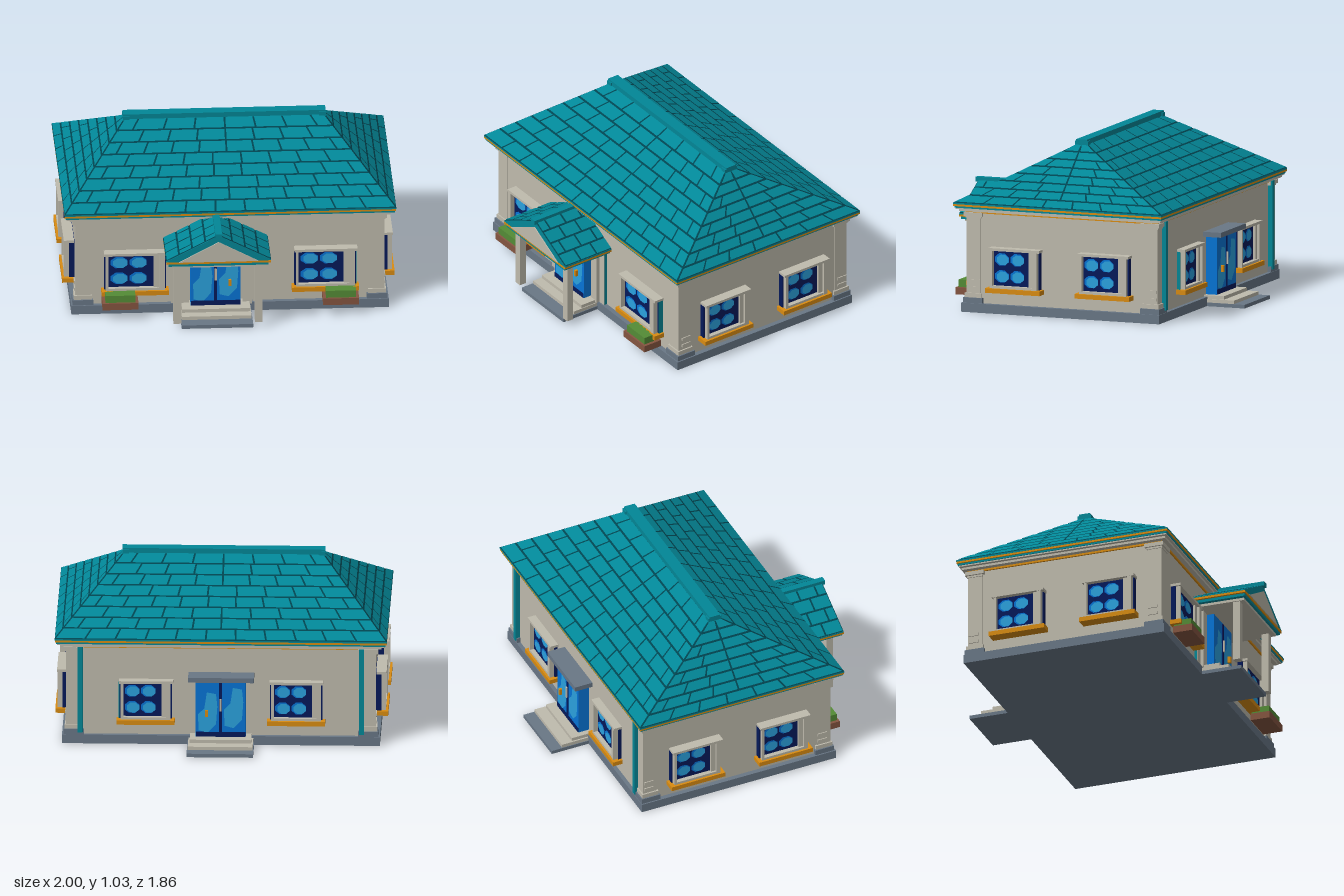
import * as THREE from 'three';

const mat = (name, color, side = THREE.FrontSide) => {
  const m = new THREE.MeshStandardMaterial({ color, side });
  m.name = name;
  return m;
};
const V = (x, y, z) => new THREE.Vector3(x, y, z);

export function createModel() {
  const model = new THREE.Group();
  model.name = 'house';
  const teal = mat('teal', 0x028797), darkTeal = mat('dark teal', 0x004450);
  const cream = mat('cream', 0xbfbbad), gold = mat('gold', 0xd98c12);
  const grey = mat('slate grey', 0x697786), navy = mat('navy', 0x04195a);
  const blue = mat('blue', 0x0674d6), light = mat('light blue', 0x2ba2de);
  const brown = mat('brown', 0x855540), green = mat('green', 0x548c36);

  const add = (parent, name, geo, m) => {
    const mesh = new THREE.Mesh(geo, m);
    mesh.name = name;
    parent.add(mesh);
    return mesh;
  };
  // box given by its min and max on each axis
  const box = (parent, name, m, x0, x1, y0, y1, z0, z1) => {
    const b = add(parent, name, new THREE.BoxGeometry(x1 - x0, y1 - y0, z1 - z0), m);
    b.position.set((x0 + x1) / 2, (y0 + y1) / 2, (z0 + z1) / 2);
    return b;
  };
  const group = (name, x, z, turn = 0) => {
    const g = new THREE.Group();
    g.name = name;
    g.position.set(x, 0, z);
    g.rotation.y = turn;
    model.add(g);
    return g;
  };

  // roof slope: dark base with staggered tiles; a, b along the eave, c, d along the top
  const quads = (list) => {
    const pos = [];
    for (const [a, b, c, d] of list) for (const p of [a, b, c, a, c, d]) pos.push(p.x, p.y, p.z);
    const geo = new THREE.BufferGeometry();
    geo.setAttribute('position', new THREE.Float32BufferAttribute(pos, 3));
    geo.computeVertexNormals();
    return geo;
  };
  const slope = (name, a, b, c, d, rows, size) => {
    const n = b.clone().sub(a).cross(d.clone().sub(a)).normalize().multiplyScalar(0.004);
    const at = (u, v) => a.clone().lerp(b, u).lerp(d.clone().lerp(c, u), v).add(n);
    const gv = 0.012 / a.clone().add(b).distanceTo(c.clone().add(d));
    const tiles = [];
    for (let r = 0; r < rows; r++) {
      const v0 = r / rows + gv, v1 = (r + 1) / rows - gv;
      const w = at(0, (v0 + v1) / 2).distanceTo(at(1, (v0 + v1) / 2));
      const count = Math.max(1, Math.round(w / size)), shift = (r % 2) / 2, gu = 0.0055 / w;
      for (let k = 0; k < count + (r % 2); k++) {
        const u0 = Math.max(0, (k - shift) / count) + gu;
        const u1 = Math.min(1, (k + 1 - shift) / count) - gu;
        if (u1 > u0) tiles.push([at(u0, v0), at(u1, v0), at(u1, v1), at(u0, v1)]);
      }
    }
    add(model, name + 'Base', quads([[a, b, c, d]]), darkTeal);
    add(model, name + 'Tiles', quads(tiles), teal);
  };

  // foundation and walls
  box(model, 'foundation', grey, -0.955, 0.955, 0, 0.055, -0.685, 0.6);
  box(model, 'walls', cream, -0.925, 0.925, 0.055, 0.625, -0.66, 0.57);
  box(model, 'wallTrim', gold, -0.935, 0.935, 0.602, 0.616, -0.67, 0.58);

  // corner pilasters with plinths and capitals
  for (const sx of [-1, 1]) for (const sz of [-1, 1]) {
    const g = group('cornerPilaster', sx * 0.885, sz === 1 ? 0.53 : -0.62);
    const block = (name, m, r, y0, y1) => box(g, name, m, -r, r, y0, y1, -r, r);
    block('plinth', grey, 0.062, 0.055, 0.088);
    block('foot', cream, 0.054, 0.088, 0.115);
    block('shaft', cream, 0.045, 0.115, 0.575);
    block('capitalNeck', cream, 0.05, 0.57, 0.585);
    block('capital', cream, 0.06, 0.582, 0.606);
    for (const y of [0.135, 0.18])
      box(g, 'cornerStone', cream, sx * 0.045 - 0.006, sx * 0.045 + 0.006, y, y + 0.018, -0.04, 0.022);
  }
  // back downpipes
  for (const x of [-0.845, 0.845]) box(model, 'downpipe', teal, x - 0.015, x + 0.015, 0.07, 0.61, -0.69, -0.65);

  // eaves and hipped roof
  box(model, 'eaveSoffit', cream, -0.965, 0.965, 0.614, 0.63, -0.695, 0.61);
  box(model, 'eaveGutter', cream, -0.985, 0.985, 0.628, 0.64, -0.705, 0.625);
  box(model, 'eaveBand', teal, -0.99, 0.99, 0.636, 0.648, -0.71, 0.63);
  box(model, 'eaveTrim', gold, -0.997, 0.997, 0.647, 0.66, -0.715, 0.635);
  box(model, 'eaveEdge', teal, -0.998, 0.998, 0.659, 0.668, -0.716, 0.636);
  const e = 0.668, t = 1.005;
  const E = [V(-0.998, e, 0.636), V(0.998, e, 0.636), V(0.998, e, -0.716), V(-0.998, e, -0.716)];
  const T = [V(-0.6, t, -0.01), V(0.6, t, -0.01), V(0.6, t, -0.07), V(-0.6, t, -0.07)];
  ['front', 'left', 'back', 'right'].forEach((side, i) => {
    const j = (i + 1) % 4;
    slope(side + 'Roof', E[i], E[j], T[j], T[i], 8, 0.17);
  });
  box(model, 'roofRidge', teal, -0.61, 0.61, 0.99, 1.035, -0.075, -0.005);
  for (const s of [-1, 1]) box(model, 'ridgeCap', teal, s * 0.59 - 0.02, s * 0.59 + 0.02, 0.985, 1.025, -0.083, 0.003);

  // projecting window, facing +z
  const makeWindow = (x, z, turn, w) => {
    const g = group('window', x, z, turn), h = w / 2;
    box(g, 'casing', navy, -h, h, 0.16, 0.395, -0.01, 0.03);
    box(g, 'lintel', cream, -h - 0.002, h + 0.008, 0.388, 0.404, 0, 0.062);
    box(g, 'bottomRail', cream, -h + 0.01, h - 0.01, 0.158, 0.175, 0.02, 0.058);
    box(g, 'leftPost', cream, -h + 0.008, -h + 0.024, 0.16, 0.39, 0.03, 0.058);
    box(g, 'shutter', cream, w * 0.3, w * 0.39, 0.16, 0.39, 0.025, 0.045);
    box(g, 'rightPost', cream, w * 0.39, h - 0.008, 0.16, 0.39, 0.03, 0.06);
    box(g, 'sill', gold, -h - 0.017, h + 0.017, 0.132, 0.16, -0.01, 0.072);
    // pane reflections
    const shine = (name, m, cx, y, rx, ry, zz) => {
      const p = add(g, name, new THREE.CircleGeometry(1, 8, Math.PI / 8), m);
      p.scale.set(rx * w, ry, 1);
      p.position.set(cx * w, y, zz);
    };
    for (const y of [0.232, 0.335]) for (const [c, r] of [[-0.26, 0.15], [0.05, 0.15]]) {
      shine('paneGlow', blue, c, y, r, 0.04, 0.032);
      shine('paneShine', light, c + 0.02, y - 0.003, r * 0.85, 0.034, 0.034);
    }
    return g;
  };
  for (const s of [-1, 1]) {
    makeWindow(s * 0.572, 0.57, 0, 0.37);
    makeWindow(s * 0.452, -0.65, Math.PI, 0.315);
    for (const z of [0.25, -0.33]) makeWindow(s * 0.928, z, s * Math.PI / 2, 0.32);
    // flower boxes
    const x = s === 1 ? 0.662 : -0.665;
    box(model, 'planter', brown, x - 0.108, x + 0.108, 0.072, 0.115, 0.59, 0.712);
    box(model, 'plants', green, x - 0.09, x + 0.09, 0.11, 0.16, 0.59, 0.7);
  }
  // teal side panels of the left-hand windows
  box(model, 'windowSide', teal, 0.756, 0.761, 0.16, 0.39, 0.57, 0.601);
  box(model, 'windowSide', teal, 0.609, 0.614, 0.16, 0.39, -0.681, -0.65);

  // double glass door, facing +z
  const makeDoor = (x, z, turn, knobSide) => {
    const g = group('door', x, z, turn);
    box(g, 'doorGlass', blue, -0.15, 0.15, 0.06, 0.42, -0.03, 0.065);
    box(g, 'doorSill', navy, -0.148, 0.148, 0.065, 0.095, 0.06, 0.068);
    box(g, 'doorGap', navy, -0.009, 0.009, 0.09, 0.415, 0.06, 0.069);
    // diagonal reflections
    const p = [[-0.055, 0.12], [0.0, 0.105], [0.05, 0.16], [0.058, 0.27], [0.05, 0.35], [-0.005, 0.36], [-0.02, 0.26], [-0.058, 0.22]];
    for (const s of [-1, 1]) {
      const shine = new THREE.Shape(p.map(([a, b]) => new THREE.Vector2(a + s * 0.078, b + s * 0.015)));
      add(g, 'doorShine', new THREE.ShapeGeometry(shine), light).position.z = 0.067;
    }
    box(g, 'handle', cream, -0.008, 0.006, 0.23, 0.305, 0.06, 0.078);
    box(g, 'latch', gold, knobSide * 0.085 - 0.008, knobSide * 0.085 + 0.008, 0.195, 0.235, 0.06, 0.085);
  };
  makeDoor(-0.09, 0.588, 0, 1);
  makeDoor(0, -0.665, Math.PI, -1);
  box(model, 'backDoorHood', grey, -0.2, 0.195, 0.42, 0.45, -0.775, -0.65);

  // steps at both doors
  const steps = (x, s, z0, run) => run.forEach(([w, y, z], i) =>
    box(model, 'step', i ? cream : grey, x - w, x + w, y, y + 0.022, Math.min(s * z0, s * z), Math.max(s * z0, s * z)));
  steps(-0.09, 1, 0.55, [[0.215, 0, 0.85], [0.21, 0.021, 0.77], [0.205, 0.042, 0.71]]);
  steps(0, -1, 0.65, [[0.2, 0, 0.93], [0.195, 0.021, 0.86], [0.185, 0.042, 0.79]]);

  // porch: columns, door pilasters and entablature
  const px = -0.087;
  for (const s of [-1, 1]) {
    const c = px + s * 0.245, d = px + s * 0.19;
    box(model, 'porchColumn', cream, c - 0.023, c + 0.023, 0.04, 0.43, 0.818, 0.862);
    box(model, 'doorPilaster', cream, d - 0.028, d + 0.028, 0.05, 0.43, 0.565, 0.61);
    box(model, 'pilasterBacking', teal, c - 0.023, c + 0.023, 0.055, 0.43, 0.56, 0.586);
    box(model, 'pilasterFace', cream, c - 0.023, c + 0.023, 0.055, 0.43, 0.586, 0.592);
  }
  box(model, 'porchBeam', cream, px - 0.275, px + 0.275, 0.42, 0.437, 0.56, 0.89);
  box(model, 'porchBand', teal, px - 0.3, px + 0.3, 0.436, 0.455, 0.56, 0.905);
  box(model, 'porchTrim', gold, px - 0.314, px + 0.314, 0.453, 0.466, 0.56, 0.912);

  // porch gable
  const extrude = (name, pts, depth, m) => {
    const s = new THREE.Shape(pts.map(([x, y]) => new THREE.Vector2(px + x, y)));
    add(model, name, new THREE.ExtrudeGeometry(s, { depth, bevelEnabled: false }), m).position.z = 0.56;
  };
  extrude('pediment', [[-0.24, 0.466], [0.24, 0.466], [0, 0.594]], 0.357, cream);
  extrude('gableRoof', [[-0.315, 0.466], [-0.235, 0.466], [0, 0.592], [0.235, 0.466], [0.315, 0.466], [0.315, 0.472], [0, 0.634], [-0.315, 0.472]], 0.35, teal);
  const f = 0.91, b = 0.56;
  slope('porchRoofLeft', V(px + 0.315, 0.474, f), V(px + 0.315, 0.474, b), V(px, 0.636, b), V(px, 0.636, f), 4, 0.13);
  slope('porchRoofRight', V(px - 0.315, 0.474, b), V(px - 0.315, 0.474, f), V(px, 0.636, f), V(px, 0.636, b), 4, 0.13);
  box(model, 'porchRidge', teal, px - 0.02, px + 0.02, 0.622, 0.65, 0.56, 0.925);

  return model;
}
